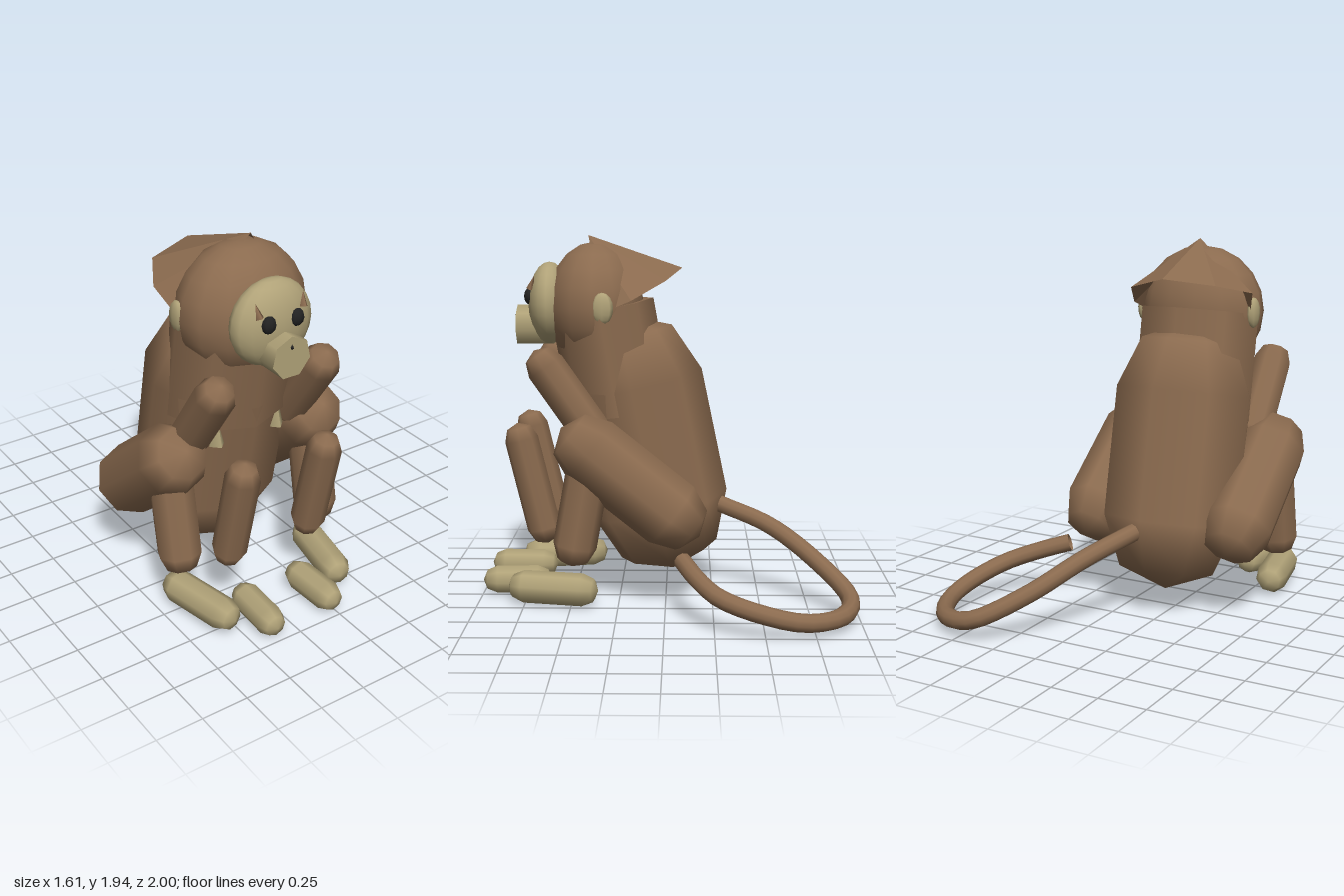
import * as THREE from 'three';

const V = (x, y, z) => new THREE.Vector3(x, y, z);
const paint = (color, extra = {}) => new THREE.MeshStandardMaterial({ color, ...extra });

export function createModel() {
  const model = new THREE.Group();
  const fur = paint(0x8b6b4f);
  const furOpen = paint(0x8b6b4f, { side: THREE.DoubleSide });
  const furFlat = paint(0x8b6b4f, { side: THREE.DoubleSide, flatShading: true });
  const skin = paint(0xb0a278);
  const black = paint(0x222222);

  // The animal sits off centre because its tail sweeps out to one side
  const body = new THREE.Group();
  body.name = 'body';
  body.position.x = -0.205;
  model.add(body);

  function add(name, geometry, material, position, parent = body) {
    const mesh = new THREE.Mesh(geometry, material);
    mesh.name = name;
    mesh.position.copy(position);
    parent.add(mesh);
    return mesh;
  }

  // Turns a mesh so that its y axis runs from a to b
  const aim = (mesh, a, b) =>
    mesh.quaternion.setFromUnitVectors(V(0, 1, 0), b.clone().sub(a).normalize());

  // Low-poly capsule between two cap centres
  function limb(name, a, b, radius, material = fur) {
    const geometry = new THREE.CapsuleGeometry(radius, a.distanceTo(b), 2, 8);
    const mesh = add(name, geometry, material, a.clone().lerp(b, 0.5));
    aim(mesh, a, b);
    return mesh;
  }

  function ball(name, material, position, rx, ry, rz, w = 14, h = 10) {
    const mesh = add(name, new THREE.SphereGeometry(1, w, h), material, position);
    mesh.scale.set(rx, ry, rz);
    return mesh;
  }

  // Torso and chest
  limb('torso', V(0, 0.475, 0.04), V(0, 1.145, 0.18), 0.38);
  const chestLow = V(0, 1.0, 0.25), chestHigh = V(0, 1.56, 0.35);
  const chest = add('chest',
    new THREE.CylinderGeometry(0.345, 0.345, chestLow.distanceTo(chestHigh), 8),
    fur, chestLow.clone().lerp(chestHigh, 0.5));
  aim(chest, chestLow, chestHigh);
  chest.scale.z = 0.82;

  // Head and face
  ball('head', fur, V(0, 1.565, 0.385), 0.345, 0.345, 0.265);
  ball('face', skin, V(0, 1.58, 0.635), 0.225, 0.222, 0.115, 16, 12);
  const snout = add('snout', new THREE.CylinderGeometry(0.11, 0.11, 0.2, 7), skin, V(0, 1.46, 0.71));
  snout.rotation.set(Math.PI / 2, Math.PI, 0);
  const nose = add('nose', new THREE.OctahedronGeometry(0.02), black, V(0, 1.515, 0.805));
  nose.scale.x = 0.6;

  // Swept-back hair: an open faceted cone, tip forward and rim behind the head
  const tip = V(0.035, 1.945, 0.42);
  const rim = [V(-0.31, 1.55, 0.32), V(-0.375, 1.69, 0.2), V(-0.26, 1.74, 0.0), V(0, 1.77, -0.085),
    V(0.23, 1.71, 0.0), V(0.31, 1.61, 0.18), V(0.29, 1.55, 0.32)];
  const fan = [];
  for (let i = 0; i < rim.length - 1; i++) fan.push(tip, rim[i + 1], rim[i]);
  const hair = new THREE.BufferGeometry().setFromPoints(fan);
  hair.computeVertexNormals();
  add('hair', hair, furFlat, V(0, 0, 0));

  // Paired parts, mirrored about the middle of the body
  for (const s of [-1, 1]) {
    const side = s > 0 ? 'left' : 'right';
    ball(side + 'Eye', black, V(s * 0.08, 1.62, 0.735), 0.04, 0.045, 0.03, 8, 6);
    ball(side + 'Ear', skin, V(s * 0.325, 1.57, 0.33), 0.03, 0.083, 0.058, 8, 8);
    const brow = add(side + 'Brow', new THREE.ConeGeometry(0.022, 0.075, 4), fur, V(s * 0.13, 1.695, 0.715));
    brow.rotation.set(-0.3, 0, -s * 0.15);
    add(side + 'BellyPatch', new THREE.ConeGeometry(0.045, 0.2, 4), skin, V(s * 0.18, 0.97, 0.445));

    limb(side + 'UpperArm', V(s * 0.31, 0.92, 0.39), V(s * 0.31, 1.265, 0.63), 0.105);
    limb(side + 'Forearm', V(s * 0.245, 0.39, 0.655), V(s * 0.245, 0.87, 0.77), 0.09);
    limb(side + 'Hand', V(s * 0.17, 0.08, 0.7), V(s * 0.18, 0.08, 0.92), 0.078, skin);
    limb(side + 'Thigh', V(s * 0.415, 0.5, -0.03), V(s * 0.415, 0.84, 0.395), 0.19);
    limb(side + 'Shin', V(s * 0.428, 0.335, 0.475), V(s * 0.428, 0.75, 0.4), 0.115);
    limb(side + 'Foot', V(s * 0.415, 0.09, 0.44), V(s * 0.35, 0.09, 0.755), 0.087, skin);
  }

  // Tail looping out behind and round to the side
  const tailPath = new THREE.CatmullRomCurve3([
    V(-0.16, 0.48, -0.29), V(-0.02, 0.39, -0.56), V(0.17, 0.24, -0.8), V(0.41, 0.11, -0.95),
    V(0.61, 0.075, -0.89), V(0.74, 0.08, -0.7), V(0.75, 0.12, -0.5), V(0.67, 0.18, -0.28),
    V(0.53, 0.235, -0.17), V(0.36, 0.29, -0.09),
  ]);
  add('tail', new THREE.TubeGeometry(tailPath, 32, 0.047, 10), furOpen, V(0, 0, 0), model);

  return model;
}
